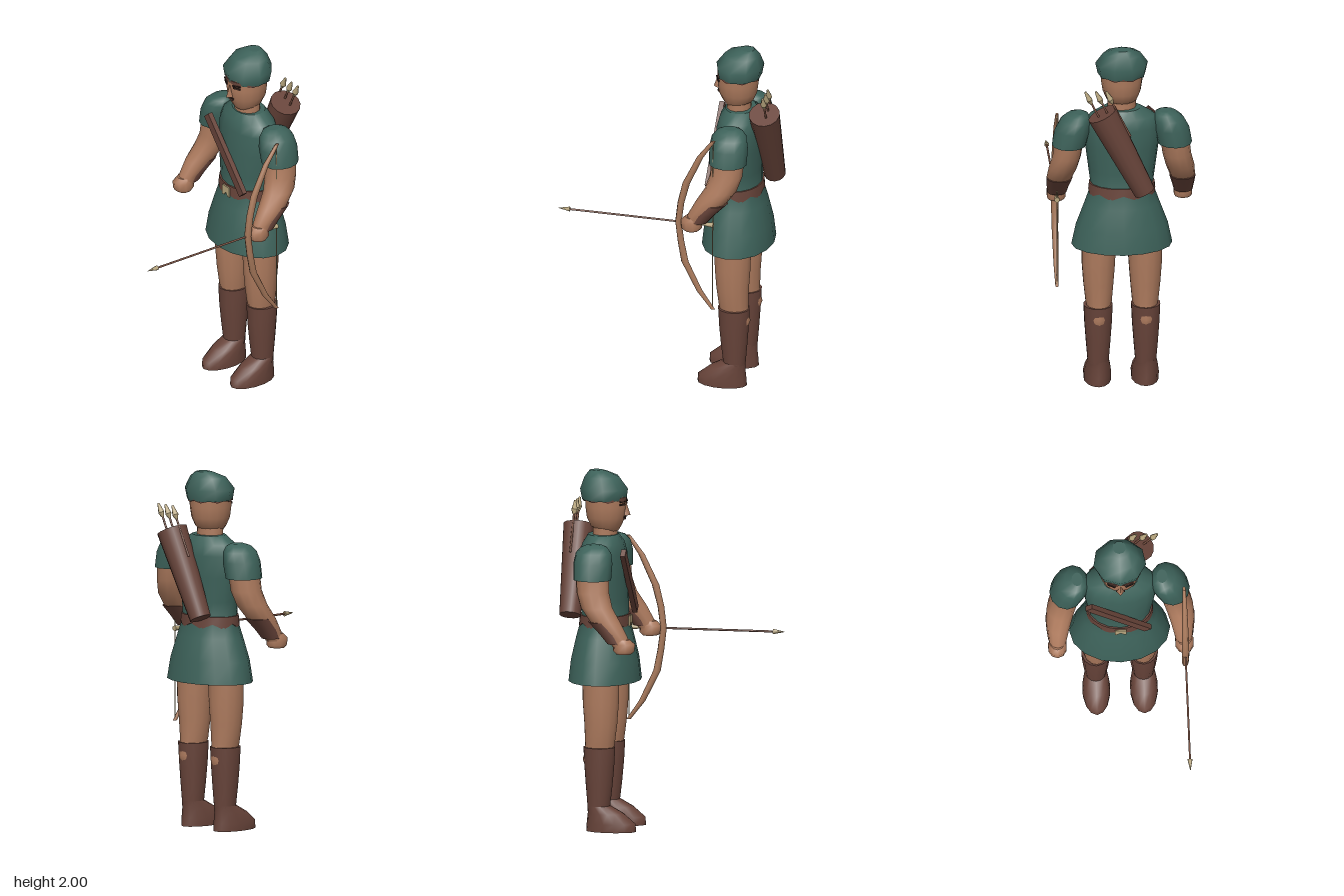
import * as THREE from 'three';

const mat = (name, color, side = THREE.FrontSide) => {
  const m = new THREE.MeshStandardMaterial({ color, side });
  m.name = name;
  return m;
};

// Elliptical rings stacked upward: [y, rx, rz, cx, cz]; wave ripples the lowest ring
function loft(rings, sides = 14, wave = 0) {
  const pos = [], idx = [];
  rings.forEach(([y, rx, rz, cx, cz], r) => {
    for (let i = 0; i < sides; i++) {
      const a = (i / sides) * Math.PI * 2 + Math.PI / 2;
      const dy = r === 0 ? wave * Math.cos(8 * a) : 0;
      pos.push(cx + rx * Math.cos(a), y + dy, cz + rz * Math.sin(a));
    }
  });
  for (let r = 0; r < rings.length - 1; r++) {
    for (let i = 0; i < sides; i++) {
      const a = r * sides + i, b = r * sides + ((i + 1) % sides);
      idx.push(a, a + sides, b, b, a + sides, b + sides);
    }
  }
  // Caps have their own vertices so that their edges stay sharp
  for (const top of [false, true]) {
    const r = top ? rings.length - 1 : 0, start = pos.length / 3;
    for (let i = 0; i < sides; i++) {
      const k = (r * sides + i) * 3;
      pos.push(pos[k], pos[k + 1], pos[k + 2]);
    }
    pos.push(rings[r][3], rings[r][0], rings[r][4]);
    for (let i = 0; i < sides; i++) {
      const a = start + i, b = start + ((i + 1) % sides);
      idx.push(start + sides, top ? b : a, top ? a : b);
    }
  }
  const g = new THREE.BufferGeometry();
  g.setAttribute('position', new THREE.Float32BufferAttribute(pos, 3));
  g.setIndex(idx);
  g.computeVertexNormals();
  return g;
}

export function createModel() {
  const root = new THREE.Group();
  root.name = 'archer';
  const green = mat('green cloth', 0x3d625a);
  const skin = mat('skin', 0xae7b5e);
  const leather = mat('brown leather', 0x68443a);
  const wood = mat('bow wood', 0xa97a5c);
  const shaft = mat('arrow shaft', 0x7d5444);
  const cream = mat('pale horn', 0xb8a67e);
  const dark = mat('dark line', 0x33221d);

  const add = (name, geo, m, parent = root) => {
    const mesh = new THREE.Mesh(geo, m);
    mesh.name = name;
    parent.add(mesh);
    return mesh;
  };
  // Tapered cylinder between two points
  const rod = (name, from, to, r0, r1, m, sides = 8) => {
    const a = new THREE.Vector3(...from), b = new THREE.Vector3(...to);
    const d = b.clone().sub(a);
    const mesh = add(name, new THREE.CylinderGeometry(r1, r0, d.length(), sides), m);
    mesh.position.copy(a).add(b).multiplyScalar(0.5);
    mesh.quaternion.setFromUnitVectors(new THREE.Vector3(0, 1, 0), d.normalize());
    return mesh;
  };
  const box = (name, size, at, m) => {
    const mesh = add(name, new THREE.BoxGeometry(...size), m);
    mesh.position.set(...at);
    return mesh;
  };

  // Tunic, belt and buckle
  add('tunic', loft([
    [0.83, 0.28, 0.2, 0, -0.34], [0.95, 0.255, 0.187, 0, -0.34],
    [1.08, 0.207, 0.158, 0, -0.34], [1.18, 0.172, 0.13, 0, -0.34],
    [1.28, 0.185, 0.13, 0, -0.34], [1.42, 0.203, 0.131, 0, -0.345],
    [1.54, 0.21, 0.128, 0, -0.35], [1.6, 0.185, 0.112, 0, -0.35],
    [1.645, 0.105, 0.085, 0, -0.35],
  ], 16), green);
  add('belt', loft([
    [1.145, 0.186, 0.142, 0, -0.34], [1.2, 0.182, 0.137, 0, -0.34],
  ], 32, 0.014), leather);
  const buckle = new THREE.Shape();
  [[-0.032, 0.028], [-0.032, -0.03], [-0.018, -0.03], [0, -0.008], [0.018, -0.03],
    [0.032, -0.03], [0.032, 0.028]].forEach(([x, y], i) => (i ? buckle.lineTo(x, y) : buckle.moveTo(x, y)));
  add('buckle', new THREE.ExtrudeGeometry(buckle, { depth: 0.008, bevelEnabled: false }), cream)
    .position.set(0, 1.165, -0.2);

  // Chest strap
  box('chestStrap', [0.05, 0.49, 0.028], [-0.012, 1.385, -0.201], leather).rotation.z = 0.735;

  // Neck, head and cap
  add('neck', loft([[1.58, 0.08, 0.07, 0, -0.34], [1.7, 0.078, 0.068, 0, -0.34]], 12), skin);
  add('head', loft([
    [1.665, 0.06, 0.06, 0, -0.325], [1.69, 0.085, 0.085, 0, -0.335],
    [1.74, 0.106, 0.108, 0, -0.335], [1.8, 0.115, 0.115, 0, -0.336],
    [1.87, 0.117, 0.115, 0, -0.338],
  ], 16), skin);
  add('cap', loft([
    [1.84, 0.135, 0.124, 0, -0.344], [1.9, 0.148, 0.134, 0, -0.345],
    [1.965, 0.105, 0.098, 0, -0.358], [1.992, 0.06, 0.055, 0, -0.38], [2, 0.038, 0.038, 0, -0.39],
  ], 9), green);
  add('fringe', loft([[1.836, 0.125, 0.121, 0, -0.341], [1.855, 0.125, 0.121, 0, -0.341]], 32, 0.006), leather);

  // Face
  const nose = add('nose', new THREE.ConeGeometry(0.022, 0.075, 4), skin);
  nose.scale.z = 1.2;
  nose.position.set(0, 1.79, -0.222);
  box('mouth', [0.05, 0.008, 0.008], [0, 1.742, -0.228], dark);
  box('lowerLip', [0.035, 0.008, 0.008], [0, 1.732, -0.229], leather);
  for (const s of [-1, 1]) {
    box('eye', [0.045, 0.01, 0.008], [s * 0.05, 1.817, -0.232], dark).rotation.y = s * 0.42;
    box('eyebrow', [0.05, 0.007, 0.008], [s * 0.05, 1.832, -0.23], dark).rotation.set(0, s * 0.42, s * 0.1);
  }

  // Limbs, mirrored
  for (const s of [-1, 1]) {
    const limb = (name, rings, m, sides) =>
      add(name, loft(rings.map(([y, rx, rz, cx, cz]) => [y, rx, rz, s * cx, cz]), sides), m);

    limb('sleeve', [
      [1.43, 0.096, 0.107, 0.293, -0.351], [1.52, 0.1, 0.11, 0.273, -0.351],
      [1.575, 0.085, 0.1, 0.258, -0.351], [1.605, 0.062, 0.075, 0.245, -0.351],
      [1.618, 0.03, 0.04, 0.235, -0.351],
    ], green, 12);
    limb('arm', [
      [1.07, 0.046, 0.05, 0.35, -0.175], [1.12, 0.053, 0.062, 0.348, -0.2],
      [1.2, 0.07, 0.085, 0.342, -0.265], [1.28, 0.079, 0.09, 0.325, -0.32],
      [1.36, 0.079, 0.092, 0.305, -0.345], [1.45, 0.08, 0.094, 0.294, -0.351],
    ], skin, 12);
    // Bracer shows along the back of the forearm
    limb('bracer', [
      [1.085, 0.052, 0.05, 0.35, -0.203], [1.14, 0.062, 0.064, 0.347, -0.236],
      [1.205, 0.073, 0.078, 0.341, -0.286],
    ], leather, 12);
    limb('hand', [
      [1.03, 0.045, 0.045, 0.352, -0.16], [1.045, 0.053, 0.06, 0.352, -0.16],
      [1.085, 0.053, 0.062, 0.352, -0.158], [1.11, 0.042, 0.045, 0.352, -0.17],
    ], skin, 10);

    // The calf bulges through the back of the boot
    limb('leg', [
      [0.3, 0.055, 0.06, 0.13, -0.345], [0.36, 0.055, 0.078, 0.131, -0.348],
      [0.4, 0.06, 0.089, 0.131, -0.35], [0.44, 0.06, 0.079, 0.13, -0.348],
      [0.49, 0.074, 0.084, 0.129, -0.342], [0.6, 0.085, 0.093, 0.13, -0.337],
      [0.72, 0.094, 0.102, 0.13, -0.337], [0.88, 0.098, 0.104, 0.128, -0.338],
    ], skin, 14);
    limb('boot', [
      [0.13, 0.059, 0.063, 0.132, -0.348], [0.25, 0.069, 0.075, 0.132, -0.346],
      [0.36, 0.077, 0.084, 0.132, -0.345], [0.47, 0.082, 0.09, 0.132, -0.345],
    ], leather, 14);
    limb('foot', [
      [0, 0.076, 0.141, 0.132, -0.278], [0.045, 0.078, 0.138, 0.132, -0.278],
      [0.1, 0.07, 0.102, 0.132, -0.308], [0.142, 0.06, 0.064, 0.132, -0.348],
    ], leather, 14);
  }

  // Quiver with three arrows
  rod('quiver', [-0.115, 1.2, -0.515], [0.12, 1.67, -0.515], 0.06, 0.086, leather, 14);
  for (const x of [0.1, 0.158, 0.216]) {
    const along = (t) => [x - 0.45 * t, 1.81 - 0.9 * t, -0.53];
    rod('quiverArrow', along(0.3), along(0.05), 0.006, 0.006, shaft, 6);
    rod('quiverArrowTip', along(0.055), along(0), 0.018, 0.006, cream, 6);
    rod('quiverArrowSocket', along(0.08), along(0.055), 0.008, 0.018, cream, 6);
  }

  // Bow, string and nocked arrow
  const bowX = 0.355;
  add('bow', loft([
    [0.555, 0.009, 0.012, bowX, -0.282], [0.66, 0.014, 0.018, bowX, -0.205],
    [0.83, 0.018, 0.021, bowX, -0.122], [0.95, 0.02, 0.019, bowX, -0.1],
    [1.07, 0.021, 0.018, bowX, -0.085], [1.19, 0.02, 0.019, bowX, -0.1],
    [1.31, 0.018, 0.021, bowX, -0.13], [1.48, 0.014, 0.018, bowX, -0.21],
    [1.585, 0.009, 0.012, bowX, -0.285],
  ], 8), wood);
  rod('bowString', [bowX, 0.56, -0.28], [bowX, 1.58, -0.283], 0.003, 0.003, cream, 5);
  rod('arrow', [bowX, 1.07, -0.28], [bowX, 1.07, 0.55], 0.006, 0.006, shaft, 6);
  rod('arrowHead', [bowX, 1.07, 0.535], [bowX, 1.07, 0.6], 0.015, 0.001, cream, 6);
  rod('arrowNock', [bowX, 1.07, -0.285], [bowX, 1.07, -0.22], 0.016, 0.008, cream, 6);
  return root;
}
